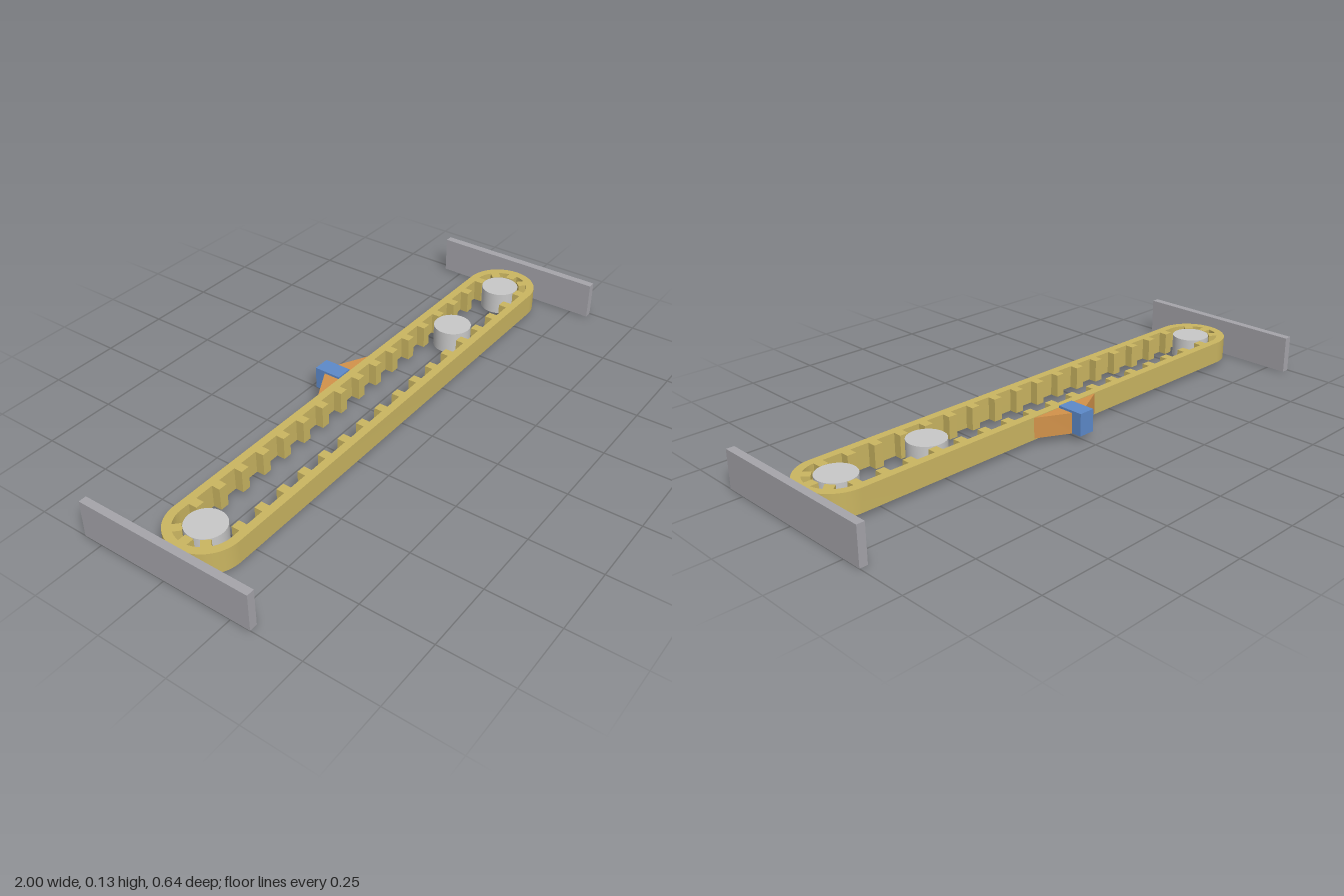
import * as THREE from 'three';
import { toCreasedNormals } from 'three/addons/utils/BufferGeometryUtils.js';

const paint = (name, color) => Object.assign(new THREE.MeshStandardMaterial({ color }), { name });

export function createModel() {
  const model = new THREE.Group();
  model.name = 'beltDrive';
  const belt = paint('beltTan', 0xcab561);
  const steel = paint('plateGrey', 0xa5a4aa);
  const silver = paint('rollerSilver', 0xc8c8c8);
  const orange = paint('bracketOrange', 0xd2924a);
  const blue = paint('clampBlue', 0x5c89c9);

  const axisZ = 0.015, span = 0.83, outer = 0.127, inner = 0.098;
  const bottom = 0.02, height = 0.08, midY = bottom + height / 2;

  const add = (parent, name, geometry, material, x = 0, y = 0, z = 0) => {
    const mesh = new THREE.Mesh(geometry, material);
    mesh.name = name;
    mesh.position.set(x, y, z);
    parent.add(mesh);
    return mesh;
  };
  // Extrude a plan outline upwards (outline y points to -z)
  const slab = (shape, depth) => toCreasedNormals(
    new THREE.ExtrudeGeometry(shape, { depth, bevelEnabled: false, curveSegments: 24 })
      .rotateX(-Math.PI / 2), 0.5);
  // Stadium outline around both end rollers
  const stadium = (path, r) => {
    path.moveTo(-span, -r);
    path.lineTo(span, -r);
    path.absarc(span, 0, r, -Math.PI / 2, Math.PI / 2, false);
    path.lineTo(-span, r);
    path.absarc(-span, 0, r, Math.PI / 2, Math.PI * 1.5, false);
    return path;
  };

  // Belt loop
  const loop = new THREE.Group();
  loop.name = 'toothedBelt';
  loop.position.set(0, 0, axisZ);
  model.add(loop);
  const band = stadium(new THREE.Shape(), outer);
  band.holes.push(stadium(new THREE.Path(), inner));
  add(loop, 'beltBand', slab(band, height), belt, 0, bottom);

  // Inner teeth on the straight runs
  const toothGeo = new THREE.BoxGeometry(0.032, height, 0.032);
  const toothR = inner - 0.014;
  for (let i = 0; i < 17; i++) {
    for (const side of [-1, 1]) {
      add(loop, 'beltTooth', toothGeo, belt, -0.78 + i * 0.1, midY, side * toothR);
    }
  }
  // Inner teeth around the ends
  for (const end of [-1, 1]) {
    for (const angle of [-0.75, 0, 0.75]) {
      const tooth = add(loop, 'beltEndTooth', toothGeo, belt,
        end * (span + toothR * Math.cos(angle)), midY, toothR * Math.sin(angle));
      tooth.rotation.y = Math.PI / 2 - end * angle;
    }
  }

  // Rollers
  const rollerGeo = new THREE.CylinderGeometry(0.067, 0.067, height, 40);
  for (const [name, x] of [['rightRoller', -span], ['idlerRoller', 0.487], ['leftRoller', 0.826]]) {
    add(model, name, rollerGeo, silver, x, midY, axisZ);
  }

  // End plates
  const plateGeo = new THREE.BoxGeometry(0.028, 0.133, 0.64);
  add(model, 'rightEndPlate', plateGeo, steel, -0.986, 0.0665, 0);
  add(model, 'leftEndPlate', plateGeo, steel, 0.986, 0.0665, 0);

  // Tapered bracket and clamp on the back run
  const bracket = new THREE.Shape();
  bracket.moveTo(-0.148, 0.11);
  bracket.lineTo(0.148, 0.11);
  bracket.lineTo(0.03, 0.172);
  bracket.lineTo(-0.03, 0.172);
  add(model, 'clampBracket', slab(bracket, 0.073), orange, 0, 0.025, 0);
  add(model, 'clampBlock', new THREE.BoxGeometry(0.06, 0.08, 0.098), blue, 0, 0.066, -0.161);

  return model;
}
